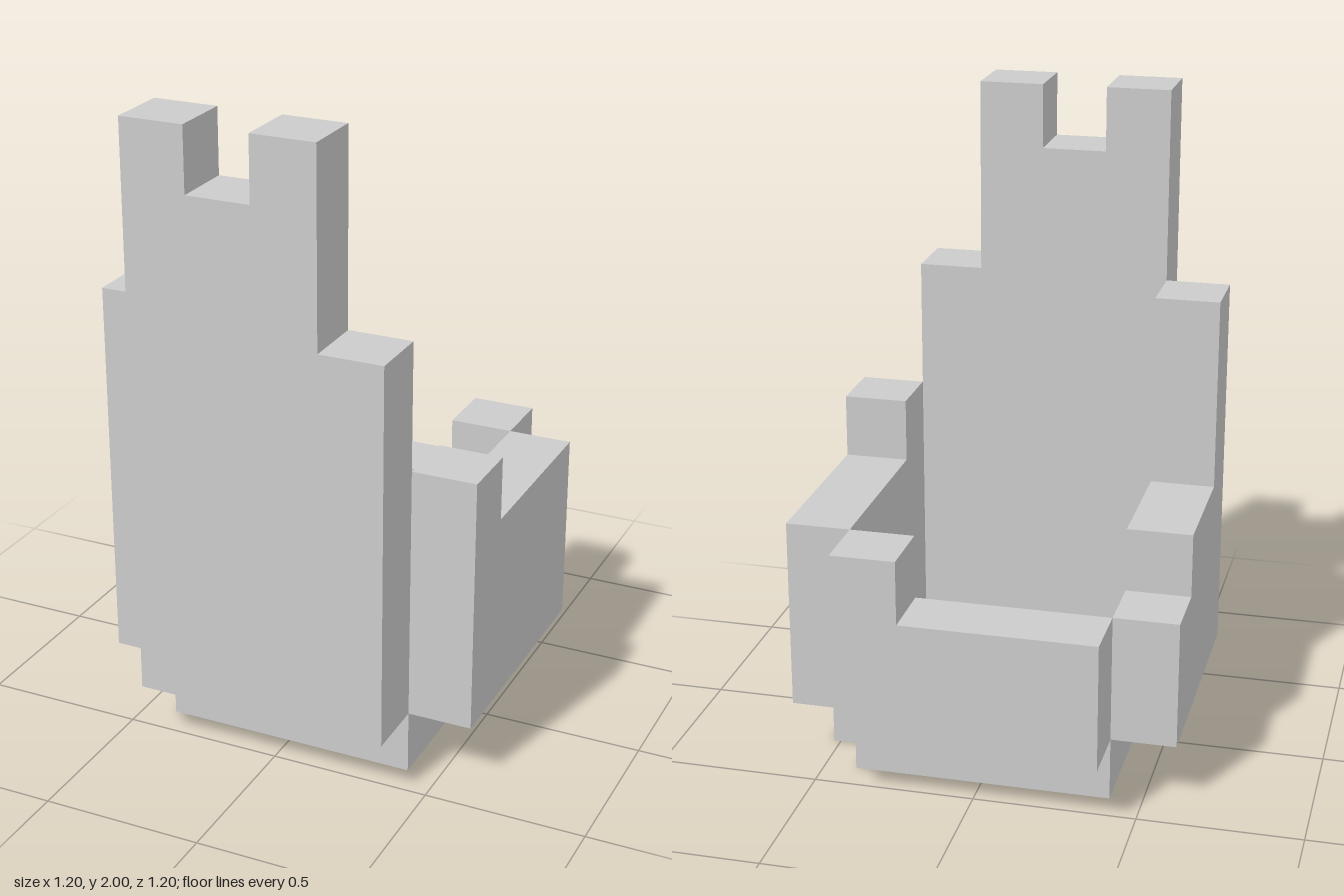
import * as THREE from 'three';

const UNIT = 0.2;   // wall thickness and width of one step
const HALF = 0.4;   // half the inner width

const material = new THREE.MeshStandardMaterial({ color: 0xcccccc, flatShading: true });

// Stepped wall: one top height per UNIT of length, running from -HALF to +HALF
function wallGeometry(heights) {
  const shape = new THREE.Shape();
  shape.moveTo(-HALF, UNIT);
  shape.lineTo(HALF, UNIT);
  let previous = null;
  for (let i = heights.length - 1; i >= 0; i--) {
    const x = -HALF + i * UNIT;
    if (heights[i] !== previous) shape.lineTo(x + UNIT, heights[i]);
    if (i === 0 || heights[i - 1] !== heights[i]) shape.lineTo(x, heights[i]);
    previous = heights[i];
  }
  shape.closePath();
  return new THREE.ExtrudeGeometry(shape, { depth: UNIT, bevelEnabled: false });
}

export function createModel() {
  const model = new THREE.Group();
  model.name = 'ruinedTower';

  function add(name, geometry, x, y, z) {
    const mesh = new THREE.Mesh(geometry, material);
    mesh.name = name;
    mesh.position.set(x, y, z);
    model.add(mesh);
  }

  // Floor slab, exposed inside the walls
  add('floor', new THREE.BoxGeometry(2 * HALF, UNIT, 2 * HALF), 0, UNIT / 2, 0);

  // Front and back walls, heights listed from -x to +x
  add('frontWall', wallGeometry([2, 1.8, 2, 1.4]), 0, 0, HALF);
  add('backWall', wallGeometry([0.6, 0.6, 0.6, 0.8]), 0, 0, -HALF - UNIT);

  // Side walls, heights listed from back to front
  const sides = [
    ['leftWall', [0.8, 0.8, 0.8, 1], HALF + UNIT],
    ['rightWall', [0.6, 0.8, 0.8, 1.4], -HALF],
  ];
  for (const [name, heights, x] of sides) {
    add(name, wallGeometry(heights).rotateY(-Math.PI / 2), x, 0, 0);
  }

  return model;
}
